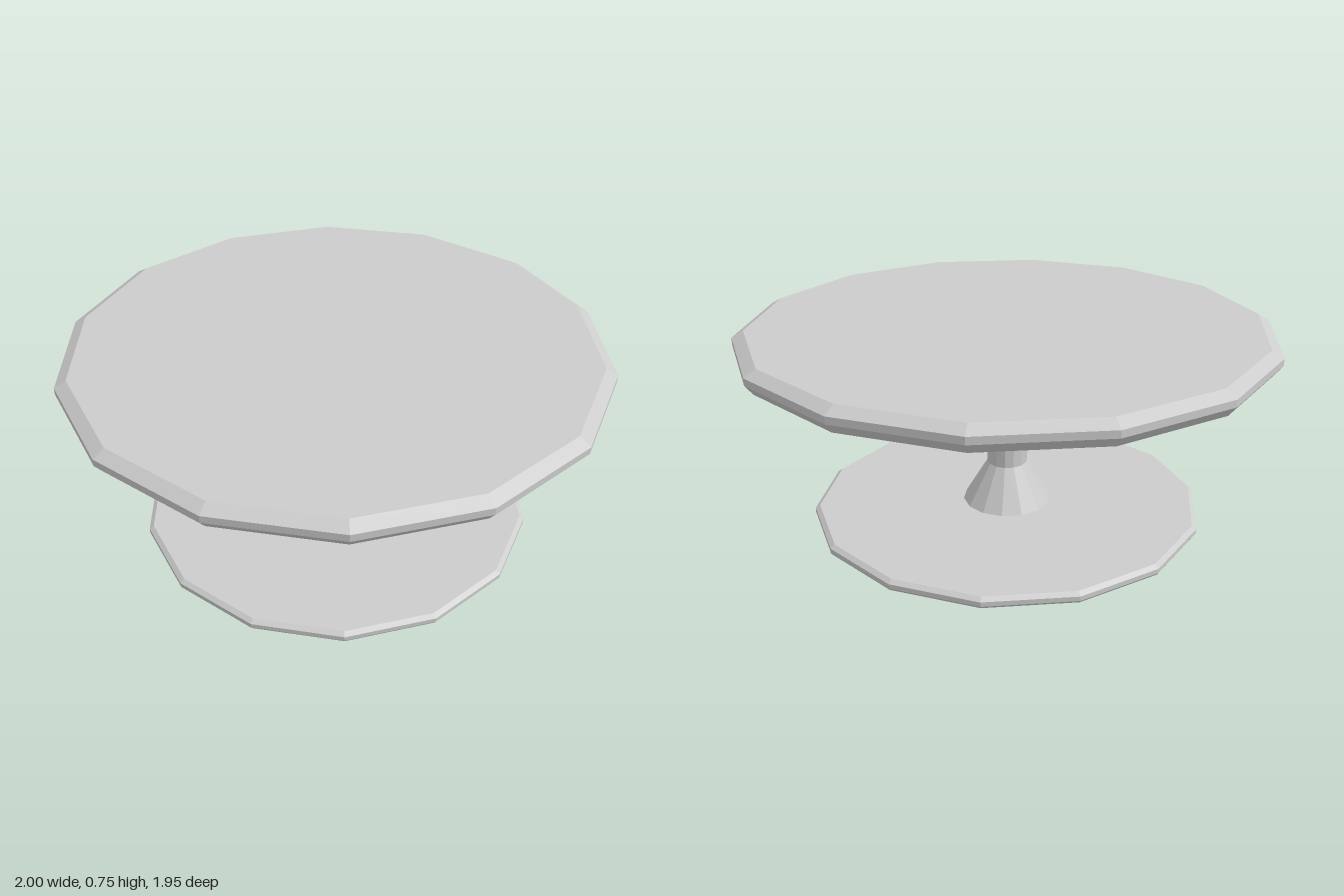
import * as THREE from 'three';

const SIDES = 14;

export function createModel() {
  const group = new THREE.Group();
  const material = new THREE.MeshStandardMaterial({ color: 0xcccccc, flatShading: true });

  // Faceted turned part; profile runs bottom to top as [radius, y], with a corner on the x axis
  const turned = (name, profile) => {
    const points = profile.map(([r, y]) => new THREE.Vector2(r, y));
    const mesh = new THREE.Mesh(new THREE.LatheGeometry(points, SIDES, Math.PI / 2), material);
    mesh.name = name;
    group.add(mesh);
  };

  // Thin foot plate with a small bevel
  turned('basePlate', [[0, 0], [0.745, 0], [0.75, 0.008], [0.75, 0.025], [0.733, 0.037], [0, 0.037]]);

  // Flared foot running into a straight column
  turned('pedestal', [[0.172, 0.036], [0.077, 0.195], [0.077, 0.67]]);

  // Round top, bevelled above and below
  turned('tableTop', [[0, 0.668], [0.972, 0.668], [1, 0.704], [1, 0.73], [0.957, 0.755], [0, 0.755]]);

  return group;
}
